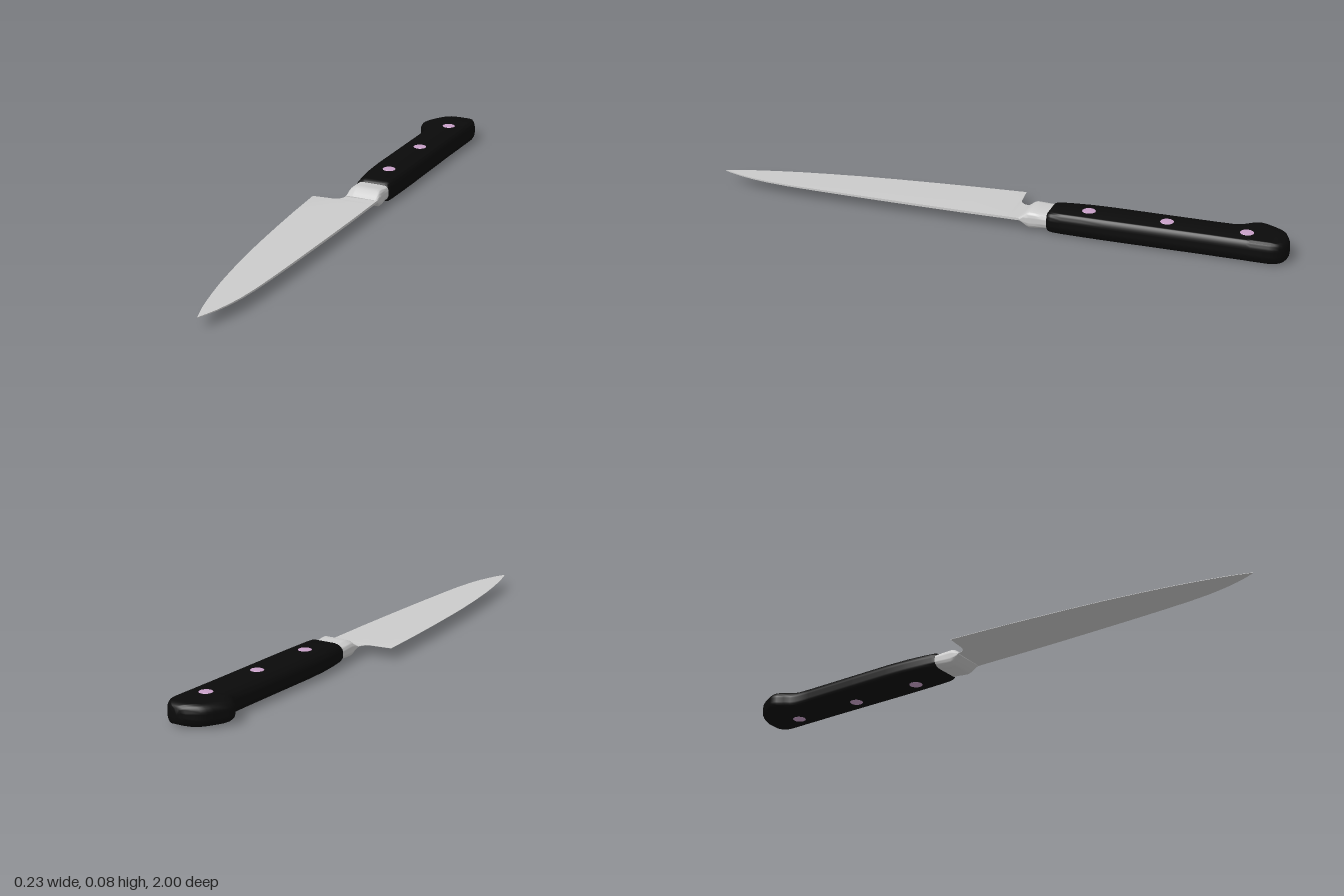
import * as THREE from 'three';
import { toCreasedNormals } from 'three/addons/utils/BufferGeometryUtils.js';

const MID = 0.04; // height of the knife's flat centre plane

// Skin rings of [x, y] points along z; stations are [z, xMin, xMax, halfHeight]
function loft(stations, section, crease) {
  const pos = [], index = [];
  const rings = stations.map(([z, x0, x1, h]) => section(x0, x1, h).map(([x, y]) => [x, y, z]));
  const n = rings[0].length;
  rings.forEach(ring => ring.forEach(p => pos.push(...p)));
  for (let i = 0; i < rings.length - 1; i++) {
    for (let k = 0; k < n; k++) {
      const a = i * n + k, b = i * n + (k + 1) % n;
      index.push(a, b, b + n, a, b + n, a + n);
    }
  }
  // End caps
  [0, rings.length - 1].forEach((r, end) => {
    const [z, x0, x1] = stations[r];
    const c = pos.length / 3;
    pos.push((x0 + x1) / 2, 0, z);
    for (let k = 0; k < n; k++) {
      const a = r * n + k, b = r * n + (k + 1) % n;
      index.push(c, end ? a : b, end ? b : a);
    }
  });
  const geometry = new THREE.BufferGeometry();
  geometry.setAttribute('position', new THREE.Float32BufferAttribute(pos, 3));
  geometry.setIndex(index);
  return toCreasedNormals(geometry, crease);
}

// Rounded section with elliptical corners, softer on the -x side
function roundedSection(rxLeft, rxRight, ryRatio) {
  return (x0, x1, h) => {
    const points = [], steps = 7, w = x1 - x0;
    for (let q = 0; q < 4; q++) {
      const right = q === 0 || q === 3, up = q < 2 ? 1 : -1;
      const rx = Math.min(right ? rxRight : rxLeft, w * 0.48);
      const ry = h * ryRatio;
      const cx = right ? x1 - rx : x0 + rx, cy = up * (h - ry);
      for (let s = 0; s <= steps; s++) {
        const t = (q + s / steps) * Math.PI / 2;
        points.push([cx + rx * Math.cos(t), cy + ry * Math.sin(t)]);
      }
    }
    return points;
  };
}

// Wedge section: flat spine at +x, fine cutting edge at -x
function bladeSection(x0, x1, h) {
  const e = 0.0006, m = x0 + (x1 - x0) * 0.55, hm = h * 0.72;
  return [[x1, -h], [x1, h], [m, hm], [x0, e], [x0, -e], [m, -hm]];
}

export function createModel() {
  const group = new THREE.Group();
  const steel = new THREE.MeshStandardMaterial({ color: 0xcccccc });
  const black = new THREE.MeshStandardMaterial({ color: 0x0a0a0a });
  const pink = new THREE.MeshStandardMaterial({ color: 0xc8a0c8 });
  const add = (name, geometry, material) => {
    const mesh = new THREE.Mesh(geometry, material);
    mesh.name = name;
    mesh.position.y = MID;
    group.add(mesh);
    return mesh;
  };

  // Blade with stepped heel and curved point
  add('blade', loft([
    [-0.14, -0.012, 0.106, 0.004], [-0.105, -0.012, 0.106, 0.004],
    [-0.088, -0.016, 0.106, 0.004], [-0.075, -0.025, 0.106, 0.004],
    [-0.068, -0.04, 0.106, 0.004], [-0.064, -0.08, 0.106, 0.004],
    [-0.06, -0.116, 0.106, 0.004], [0.1, -0.105, 0.107, 0.004],
    [0.25, -0.092, 0.106, 0.004], [0.4, -0.077, 0.104, 0.0038],
    [0.52, -0.063, 0.102, 0.0036], [0.64, -0.045, 0.099, 0.0033],
    [0.74, -0.028, 0.095, 0.003], [0.82, -0.011, 0.088, 0.0027],
    [0.88, 0.003, 0.078, 0.0024], [0.93, 0.016, 0.066, 0.002],
    [0.97, 0.029, 0.053, 0.0016], [1, 0.039, 0.041, 0.001],
  ], bladeSection, 0.5), steel);

  // Bolster, tapering steeply down to the blade
  add('bolster', loft([
    [-0.21, -0.017, 0.105, 0.025], [-0.185, -0.016, 0.105, 0.026],
    [-0.16, -0.014, 0.106, 0.029], [-0.14, -0.013, 0.107, 0.03],
    [-0.13, -0.013, 0.107, 0.026], [-0.115, -0.012, 0.107, 0.014],
    [-0.103, -0.012, 0.107, 0.005],
  ], roundedSection(0.028, 0.015, 0.75), 0.6), steel);

  // Handle with hooked butt
  add('handle', loft([
    [-1, 0.035, 0.07, 0.022], [-0.996, 0.02, 0.083, 0.028],
    [-0.988, 0, 0.095, 0.033], [-0.977, -0.022, 0.104, 0.036],
    [-0.962, -0.037, 0.111, 0.037], [-0.945, -0.048, 0.114, 0.0375],
    [-0.92, -0.062, 0.114, 0.0375], [-0.9, -0.071, 0.114, 0.0375],
    [-0.885, -0.074, 0.114, 0.0375], [-0.87, -0.07, 0.113, 0.0375],
    [-0.85, -0.056, 0.113, 0.0375], [-0.832, -0.041, 0.113, 0.0375],
    [-0.81, -0.034, 0.113, 0.0375], [-0.75, -0.033, 0.112, 0.0375],
    [-0.55, -0.034, 0.112, 0.0375], [-0.4, -0.035, 0.112, 0.0375],
    [-0.32, -0.032, 0.111, 0.0375], [-0.25, -0.025, 0.11, 0.037],
    [-0.215, -0.02, 0.109, 0.036], [-0.203, -0.018, 0.107, 0.033],
    [-0.2, -0.016, 0.105, 0.03],
  ], roundedSection(0.038, 0.017, 0.8), 0.8), black);

  // Domed rivets running through the handle
  const rivetProfile = [[0, -0.04], [0.014, -0.0394], [0.022, -0.0384], [0.024, -0.036],
    [0.024, 0.036], [0.022, 0.0384], [0.014, 0.0394], [0, 0.04]]
    .map(([r, y]) => new THREE.Vector2(r, y));
  const rivetGeometry = toCreasedNormals(new THREE.LatheGeometry(rivetProfile, 28), 0.7);
  [-0.86, -0.595, -0.33].forEach((z, i) => {
    const rivet = add('rivet' + (i + 1), rivetGeometry, pink);
    rivet.position.x = 0.047;
    rivet.position.z = z;
  });

  return group;
}
